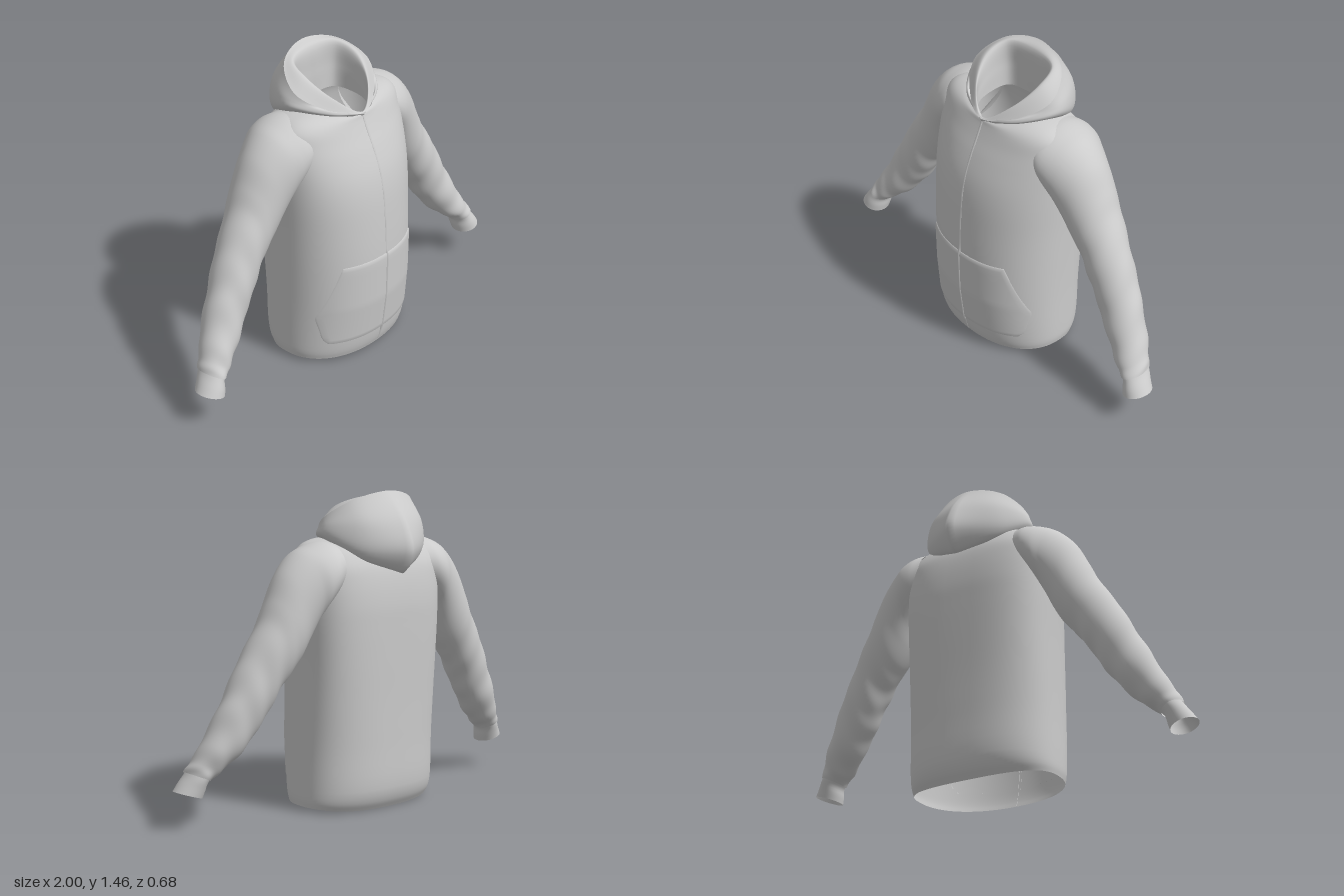
import * as THREE from 'three';

const V = (x, y, z) => new THREE.Vector3(x, y, z);
const { clamp, smoothstep } = THREE.MathUtils;
const material = new THREE.MeshStandardMaterial({ color: 0xcccccc, side: THREE.DoubleSide });

// Skins a list of rings; rows are smoothed along the loft and scaled about their centre by bulge(u, v)
function loft(name, rings, { steps = 1, closed = true, bulge = null } = {}) {
  const n = rings[0].length, rows = (rings.length - 1) * steps;
  const columns = rings[0].map((_, j) => new THREE.CatmullRomCurve3(rings.map(r => r[j])));
  const positions = [], index = [];
  for (let i = 0; i <= rows; i++) {
    const u = i / rows;
    const row = columns.map((c, j) => (steps > 1 ? c.getPoint(u) : rings[i][j].clone()));
    if (bulge) {
      const centre = row.reduce((s, p) => s.add(p), V(0, 0, 0)).divideScalar(n);
      row.forEach((p, j) => p.sub(centre).multiplyScalar(1 + bulge(u, j / n)).add(centre));
    }
    row.forEach(p => positions.push(p.x, p.y, p.z));
  }
  for (let i = 0; i < rows; i++) {
    for (let j = 0; j < (closed ? n : n - 1); j++) {
      const k = (j + 1) % n, a = i * n + j, b = i * n + k, c = a + n, d = b + n;
      index.push(a, c, b, b, c, d);
    }
  }
  const geometry = new THREE.BufferGeometry();
  geometry.setAttribute('position', new THREE.Float32BufferAttribute(positions, 3));
  geometry.setIndex(index);
  geometry.computeVertexNormals();
  const mesh = new THREE.Mesh(geometry, material);
  mesh.name = name;
  return mesh;
}

// Linear lookup in rows sorted by rising first value
function lookup(table, key, value, x) {
  let i = 1;
  while (i < table.length - 1 && table[i][key] < x) i++;
  const a = table[i - 1], b = table[i];
  const t = clamp((x - a[key]) / (b[key] - a[key]), 0, 1);
  return a[value] + (b[value] - a[value]) * t;
}

// Torso rings: side y, front y, back y, half width, front z, back z
const TORSO = [
  [0.02, 0.02, 0.0, 0.357, 0.29, -0.18],
  [0.05, 0.05, 0.04, 0.362, 0.3, -0.205],
  [0.1, 0.1, 0.1, 0.363, 0.31, -0.222],
  [0.3, 0.3, 0.3, 0.36, 0.332, -0.227],
  [0.5, 0.5, 0.5, 0.36, 0.335, -0.23],
  [0.7, 0.7, 0.7, 0.362, 0.325, -0.235],
  [0.85, 0.85, 0.85, 0.366, 0.31, -0.238],
  [0.95, 0.95, 0.95, 0.368, 0.288, -0.238],
  [1.05, 1.05, 1.05, 0.37, 0.25, -0.228],
  [1.13, 1.12, 1.12, 0.365, 0.217, -0.212],
  [1.19, 1.165, 1.17, 0.35, 0.197, -0.19],
  [1.225, 1.185, 1.2, 0.31, 0.189, -0.172],
  [1.245, 1.2, 1.215, 0.24, 0.184, -0.155],
  [1.25, 1.205, 1.22, 0.17, 0.18, -0.135],
];
const MID_Z = 0.03, FRONT_POWER = 2.2;

function torsoRing([yS, yF, yB, w, zf, zb], n = 80) {
  // The back is broad and flat across the shoulder blades, rounder at hem and neck
  const backPower = 2.5 + 0.7 * smoothstep(yS, 0.1, 0.9) - 0.8 * smoothstep(yS, 1.13, 1.25);
  return Array.from({ length: n }, (_, j) => {
    const t = (j / n) * Math.PI * 2, s = Math.sin(t), c = Math.cos(t);
    const e = 2 / (s < 0 ? backPower : FRONT_POWER);
    const x = Math.sign(c) * w * Math.abs(c) ** e;
    const z = MID_Z + Math.abs(s) ** e * ((s < 0 ? zb : zf) - MID_Z);
    return V(x, yS + ((s < 0 ? yB : yF) - yS) * s * s, z);
  });
}

// Point on the chest surface, lifted forward
function onFront(x, y, lift) {
  const w = lookup(TORSO, 1, 3, y), zf = lookup(TORSO, 1, 4, y);
  const depth = Math.max(0, 1 - Math.abs(x / w) ** FRONT_POWER) ** (1 / FRONT_POWER);
  return V(x, y, MID_Z + (zf - MID_Z) * depth + lift);
}

// Sleeve sections: top x, top y, bottom x, bottom y, front z, back z; the first lies inside the torso
const SLEEVE = [
  [0.25, 1.236, 0.27, 0.98, 0.145, -0.185],
  [0.3, 1.234, 0.315, 0.945, 0.155, -0.203],
  [0.36, 1.218, 0.345, 0.905, 0.15, -0.203],
  [0.42, 1.19, 0.367, 0.86, 0.138, -0.185],
  [0.5, 1.11, 0.4, 0.785, 0.118, -0.167],
  [0.56, 1.0, 0.445, 0.71, 0.105, -0.158],
  [0.61, 0.9, 0.5, 0.645, 0.098, -0.143],
  [0.69, 0.77, 0.555, 0.565, 0.1, -0.122],
  [0.76, 0.64, 0.606, 0.48, 0.103, -0.103],
  [0.82, 0.52, 0.662, 0.397, 0.11, -0.083],
  [0.88, 0.4, 0.73, 0.315, 0.125, -0.055],
  [0.925, 0.31, 0.8, 0.255, 0.142, -0.02],
  [0.95, 0.26, 0.85, 0.215, 0.152, 0.005],
];
const CUFF = [
  [0.94, 0.268, 0.845, 0.228, 0.145, 0.006],
  [0.955, 0.243, 0.864, 0.203, 0.152, 0.011],
  [0.977, 0.212, 0.869, 0.17, 0.163, 0.02],
  [1.0, 0.178, 0.876, 0.138, 0.17, 0.028],
];

function sleeveRing([tx, ty, bx, by, zf, zb], side, n = 40) {
  return Array.from({ length: n }, (_, j) => {
    const t = (j / n) * Math.PI * 2, c = Math.cos(t) / 2, s = -side * Math.sin(t) / 2;
    return V(side * ((tx + bx) / 2 + (tx - bx) * c), (ty + by) / 2 + (ty - by) * c, (zf + zb) / 2 + (zf - zb) * s);
  });
}

// Uneven creases gather at the elbow and above the cuff
function sleeveFolds(u, v) {
  const a = v * Math.PI * 2;
  const amount = 0.022 * smoothstep(u, 0.4, 0.6) + 0.018 * smoothstep(u, 0.8, 0.95);
  return amount * (Math.sin(u * 58 + 2 * Math.cos(a) + Math.sin(2 * a)) + 0.7 * Math.sin(u * 37 - 3 * Math.cos(a + 1)));
}

// Hood rings: half outlines from front centre round the side to back centre
const HOOD_OUTER = [
  [[0, 1.212, 0.192], [0.16, 1.26, 0.115], [0.247, 1.335, 0], [0.178, 1.42, -0.125], [0, 1.46, -0.175]],
  [[0, 1.21, 0.193], [0.17, 1.262, 0.12], [0.265, 1.305, -0.03], [0.19, 1.315, -0.19], [0, 1.31, -0.298]],
  [[0, 1.205, 0.193], [0.165, 1.245, 0.13], [0.27, 1.275, -0.02], [0.205, 1.21, -0.185], [0, 1.19, -0.336]],
  [[0, 1.2, 0.19], [0.15, 1.23, 0.13], [0.25, 1.25, 0], [0.18, 1.165, -0.17], [0, 1.092, -0.265]],
  [[0, 1.18, 0.18], [0.12, 1.2, 0.12], [0.19, 1.23, 0], [0.14, 1.2, -0.12], [0, 1.19, -0.17]],
];
const HOOD_LINING = [
  [[0, 1.18, 0.178], [0.1, 1.2, 0.12], [0.14, 1.2, 0], [0.125, 1.2, -0.095], [0, 1.2, -0.122]],
  [[0, 1.2, 0.178], [0.105, 1.24, 0.12], [0.147, 1.29, 0], [0.13, 1.31, -0.098], [0, 1.31, -0.12]],
  [[0, 1.215, 0.183], [0.12, 1.3, 0.11], [0.17, 1.385, 0], [0.142, 1.425, -0.1], [0, 1.432, -0.13]],
  HOOD_OUTER[0],
];

// Round rings run smoothly through front and back; the others keep a point there
function hoodRing(half, round) {
  const mirror = points => points.slice(1, -1).reverse().map(p => V(-p.x, p.y, p.z));
  const right = half.map(p => V(...p));
  if (round) {
    const curve = new THREE.CatmullRomCurve3([...right, ...mirror(right)], true);
    return Array.from({ length: 64 }, (_, j) => curve.getPoint(j / 64));
  }
  const points = new THREE.CatmullRomCurve3(right).getPoints(32);
  return [...points, ...mirror(points)];
}

// Kangaroo pocket: y and half width, rising
const POCKET = [[0.115, 0.28], [0.14, 0.3], [0.26, 0.322], [0.53, 0.235]];

function pocketRows(rows = 24, cols = 32) {
  return Array.from({ length: rows + 1 }, (_, i) => {
    const y = 0.53 - 0.415 * clamp((i - 1) / (rows - 2), -0.006, 1.006);
    const w = lookup(POCKET, 0, 1, y);
    return Array.from({ length: cols + 1 }, (_, j) => {
      const edge = i === 0 || i === rows || j === 0 || j === cols;
      const x = w * clamp((2 * (j - 1)) / (cols - 2) - 1, -1.012, 1.012);
      return onFront(x, y, edge ? -0.001 : 0.006);
    });
  });
}

export function createModel() {
  const model = new THREE.Group();
  model.name = 'hoodedJacket';

  // Body
  model.add(loft('torso', TORSO.map(r => torsoRing(r)), { steps: 5 }));

  // Sleeves and cuffs
  for (const side of [1, -1]) {
    const label = side > 0 ? 'left' : 'right';
    model.add(loft(label + 'Sleeve', SLEEVE.map(s => sleeveRing(s, side)), { steps: 8, bulge: sleeveFolds }));
    model.add(loft(label + 'Cuff', CUFF.map(s => sleeveRing(s, side)), { steps: 3 }));
  }

  // Hood hanging open, with its lining running down to the neck
  model.add(loft('hood', HOOD_OUTER.map((r, i) => hoodRing(r, i === 0)), { steps: 7 }));
  model.add(loft('hoodLining', HOOD_LINING.map((r, i) => hoodRing(r, i > 1)), { steps: 7 }));

  // Front details
  model.add(loft('pocket', pocketRows(), { closed: false }));
  const zipperRows = Array.from({ length: 41 }, (_, i) => {
    const y = 1.2 - (i / 40) * 1.175;
    const lift = y > 0.11 && y < 0.53 ? 0.008 : 0.003;
    return [[-0.006, -0.001], [-0.004, lift], [0.004, lift], [0.006, -0.001]].map(([x, l]) => onFront(x, y, l));
  });
  model.add(loft('zipper', zipperRows, { closed: false }));

  return model;
}
